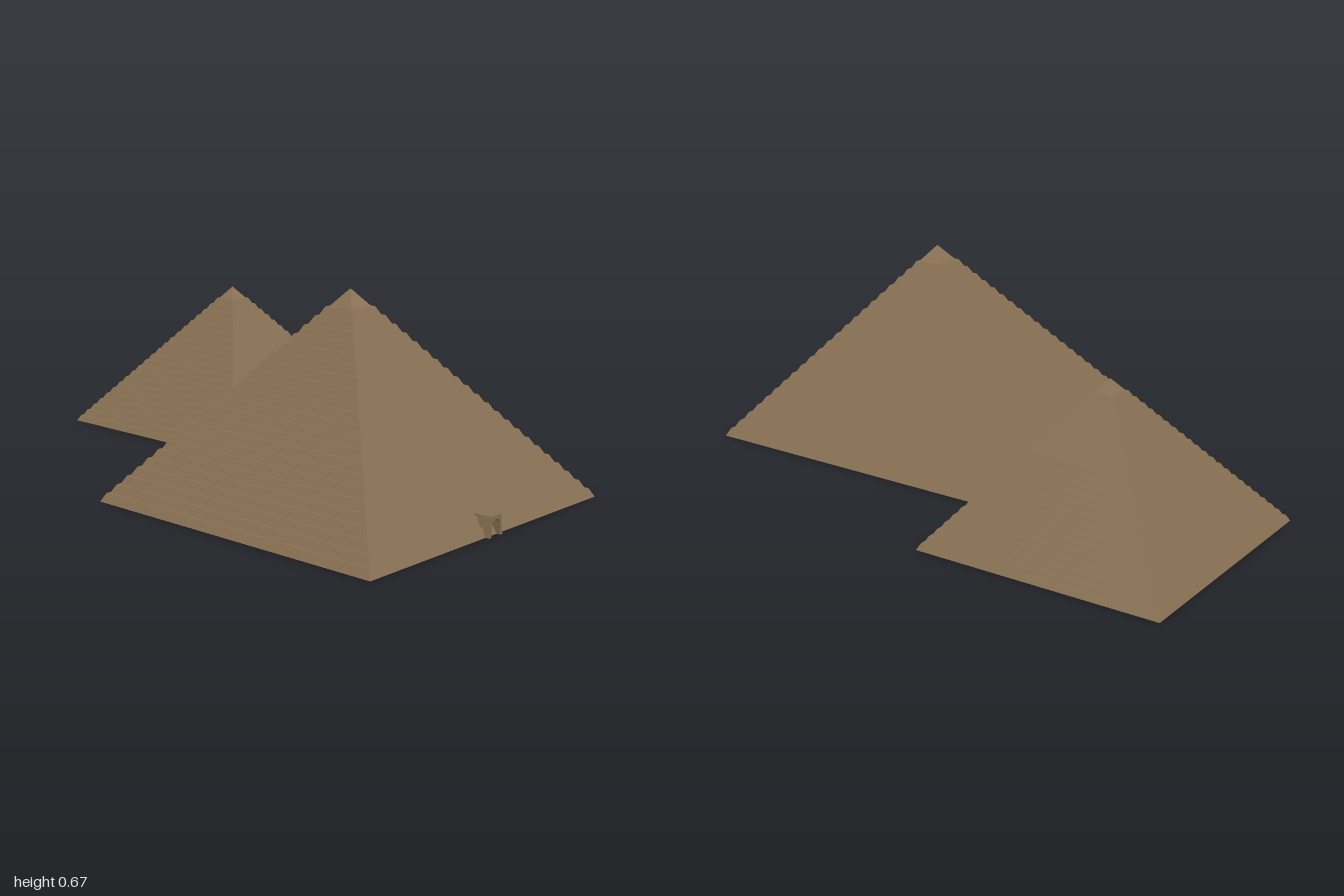
import * as THREE from 'three';

const stone = new THREE.MeshStandardMaterial({ color: 0x8b7355, flatShading: true });

const HALF = 0.547, HEIGHT = 0.665, STEPS = 24;

// Square stepped body: sloped courses with narrow ledges, ending in a pointed cap
function bodyGeometry() {
  const points = [new THREE.Vector2(0, 0)];
  const course = HEIGHT / STEPS, run = HALF / STEPS, ledge = run * 0.35;
  const add = (half, y) => points.push(new THREE.Vector2(half * Math.SQRT2, y));
  for (let i = 0; i < STEPS - 2; i++) {
    add(HALF - i * run, i * course);
    add(HALF - (i + 1) * run + ledge, (i + 1) * course);
  }
  add(run * 2, course * (STEPS - 2));
  points.push(new THREE.Vector2(0, HEIGHT));
  return new THREE.LatheGeometry(points, 4, Math.PI / 4);
}

// Tapered door frame with an arched passage open at the ground
function doorGeometry() {
  const s = new THREE.Shape();
  s.moveTo(-0.033, 0);
  s.lineTo(-0.024, 0.063);
  s.lineTo(0.024, 0.063);
  s.lineTo(0.033, 0);
  s.lineTo(0.022, 0);
  s.lineTo(0.018, 0.042);
  s.lineTo(0.012, 0.05);
  s.lineTo(-0.012, 0.05);
  s.lineTo(-0.018, 0.042);
  s.lineTo(-0.022, 0);
  s.closePath();
  return new THREE.ExtrudeGeometry(s, { depth: 0.08, bevelEnabled: false });
}

function pyramid(name, x, z, scale) {
  const group = new THREE.Group();
  group.name = name;
  const body = new THREE.Mesh(bodyGeometry(), stone);
  body.name = 'steppedBody';
  const door = new THREE.Mesh(doorGeometry(), stone);
  door.name = 'doorFrame';
  door.position.z = HALF + 0.013 - 0.08;
  group.add(body, door);
  group.position.set(x, 0, z);
  group.scale.setScalar(scale);
  return group;
}

export function createModel() {
  const model = new THREE.Group();
  model.name = 'pyramids';
  model.add(pyramid('largePyramid', -0.195, 0.44, 1));
  model.add(pyramid('smallPyramid', 0.322, -0.583, 0.762));
  return model;
}
